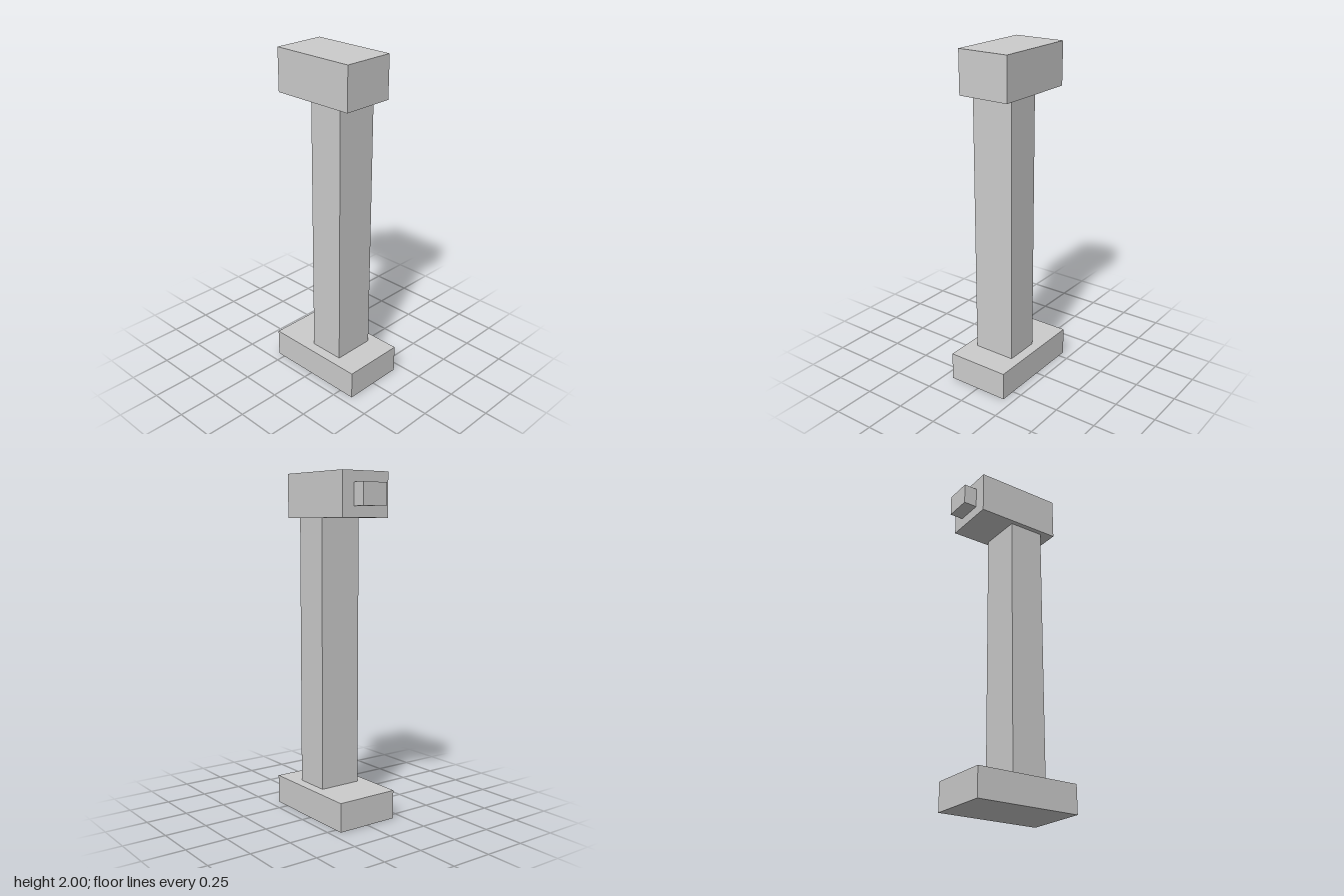
import * as THREE from 'three';

export function createModel() {
  const group = new THREE.Group();
  const material = new THREE.MeshStandardMaterial({ color: 0xcccccc });

  // Box centred on x, given its width and its y and z extents
  function addBox(name, width, [y0, y1], [z0, z1]) {
    const mesh = new THREE.Mesh(new THREE.BoxGeometry(width, y1 - y0, z1 - z0), material);
    mesh.name = name;
    mesh.position.set(0, (y0 + y1) / 2, (z0 + z1) / 2);
    group.add(mesh);
  }

  addBox('foot', 0.384, [0, 0.17], [-0.298, 0.345]);
  addBox('column', 0.26, [0.17, 1.747], [-0.037, 0.18]);
  addBox('head', 0.318, [1.747, 2], [-0.265, 0.26]);
  addBox('rearKnob', 0.16, [1.81, 1.937], [-0.347, -0.265]);

  return group;
}
